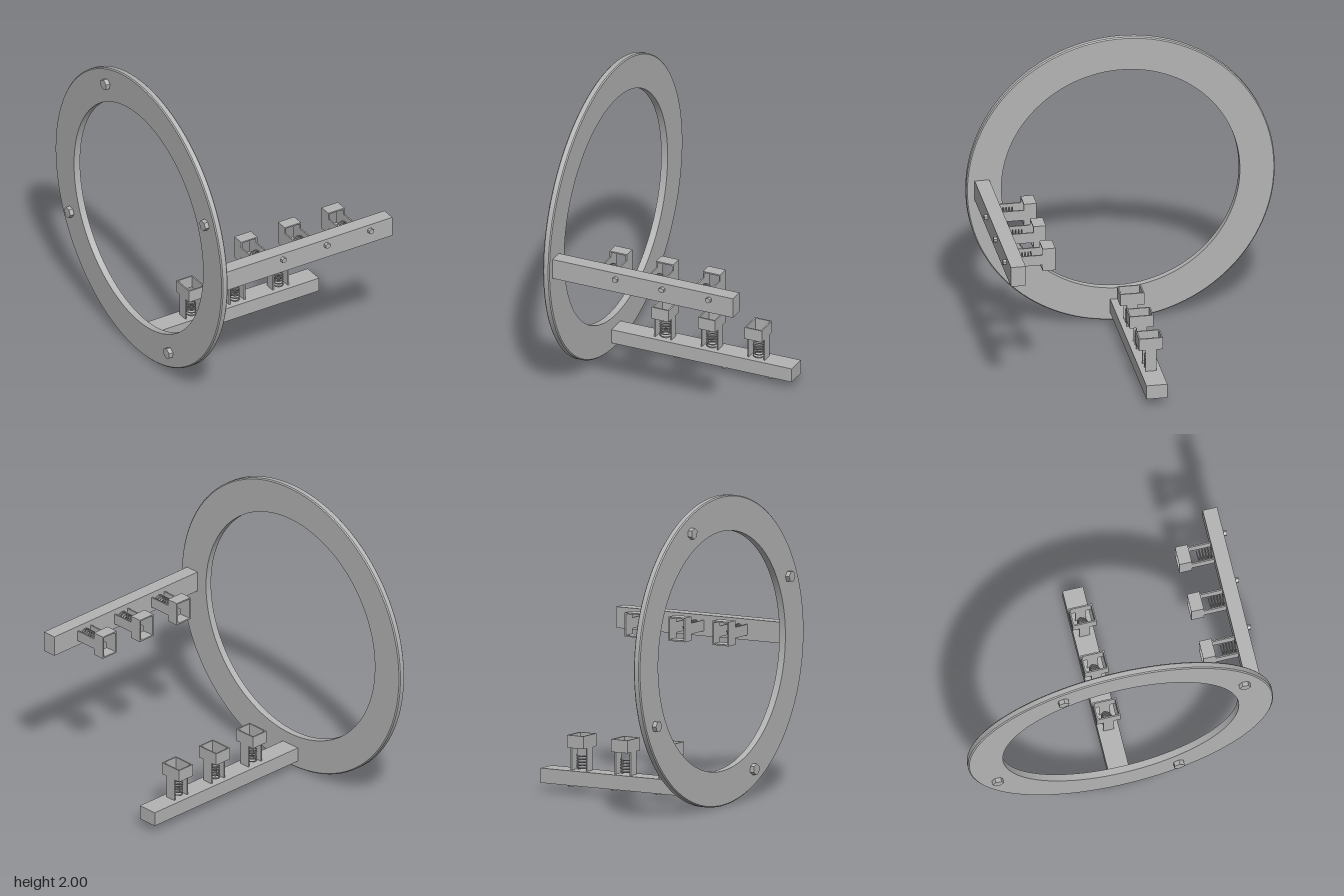
import * as THREE from 'three';
import { toCreasedNormals } from 'three/addons/utils/BufferGeometryUtils.js';

const metal = new THREE.MeshStandardMaterial({ color: 0xb3b3b3 });
metal.name = 'grey metal';

const RING_X = -0.6225, RING_T = 0.045;

function add(parent, name, geometry, x = 0, y = 0, z = 0) {
  const mesh = new THREE.Mesh(geometry, metal);
  mesh.name = name;
  mesh.position.set(x, y, z);
  parent.add(mesh);
  return mesh;
}

const hexHead = (r, h) => toCreasedNormals(new THREE.CylinderGeometry(r, r, h, 6), 0.3);

// Flat ring with a slight chamfer on the outer rim, axis along x
function ringGeometry() {
  const h = RING_T / 2, c = 0.007, inner = 0.773;
  const profile = [[inner, -h], [1 - c, -h], [1, -h + c], [1, h - c], [1 - c, h], [inner, h], [inner, -h]]
    .map(([r, y]) => new THREE.Vector2(r, y));
  return toCreasedNormals(new THREE.LatheGeometry(profile, 128), 0.4).rotateZ(Math.PI / 2);
}

// Coil spring standing on y = 0
function springGeometry() {
  const r = 0.032, height = 0.095, turns = 5, points = [];
  for (let i = 0; i <= turns * 12; i++) {
    const a = (i / 12) * Math.PI * 2;
    points.push(new THREE.Vector3(r * Math.cos(a), 0.004 + height * i / (turns * 12), r * Math.sin(a)));
  }
  return new THREE.TubeGeometry(new THREE.CatmullRomCurve3(points), turns * 24, 0.004, 6);
}

// Open rectangular collar standing on y = 0
function collarGeometry(width, depth, height, wall) {
  const rect = (Type, w, d) => new Type([[-w, -d], [w, -d], [w, d], [-w, d]]
    .map(([x, y]) => new THREE.Vector2(x / 2, y / 2)));
  const shape = rect(THREE.Shape, width, depth);
  shape.holes.push(rect(THREE.Path, width - 2 * wall, depth - 2 * wall));
  return new THREE.ExtrudeGeometry(shape, { depth: height, bevelEnabled: false }).rotateX(-Math.PI / 2);
}

// Rail below the ring centre, carrying three spring holders that point inward
function makeRail(name) {
  const rail = new THREE.Group();
  rail.name = name;
  const top = -0.851, wall = 0.009;
  add(rail, 'bar', new THREE.BoxGeometry(1.27, 0.095, 0.136), 0.035, top - 0.0475, 0);
  const plate = new THREE.BoxGeometry(wall, 0.15, 0.07);
  const collar = collarGeometry(0.122, 0.156, 0.082, wall);
  const spring = springGeometry();
  const bolt = hexHead(0.019, 0.022);
  for (const x of [-0.253, 0.075, 0.403]) {
    const holder = new THREE.Group();
    holder.name = 'springHolder';
    holder.position.set(x, top, 0);
    rail.add(holder);
    for (const side of [-1, 1]) add(holder, 'sidePlate', plate, side * (0.061 - wall / 2), 0.075, 0);
    add(holder, 'collar', collar, 0, 0.149, 0);
    add(holder, 'spring', spring);
    add(holder, 'bolt', bolt, 0.098, -0.106, 0.027);
  }
  return rail;
}

export function createModel() {
  const model = new THREE.Group();
  model.name = 'ringWithRails';
  const body = new THREE.Group();
  body.name = 'assembly';
  body.position.y = 1;
  model.add(body);

  add(body, 'ring', ringGeometry(), RING_X, 0, 0);

  // Four mounting bolts on the outer face of the ring
  const head = hexHead(0.037, 0.03).rotateZ(Math.PI / 2);
  for (let i = 0; i < 4; i++) {
    const mount = new THREE.Group();
    mount.name = 'ringBolt';
    mount.rotation.x = THREE.MathUtils.degToRad(-25 + i * 90);
    add(mount, 'boltHead', head, RING_X - RING_T / 2 - 0.014, 0.893, 0);
    body.add(mount);
  }

  // Two identical rails, a quarter turn apart
  body.add(makeRail('bottomRail'));
  const frontRail = makeRail('frontRail');
  frontRail.rotation.x = -Math.PI / 2;
  body.add(frontRail);

  return model;
}
